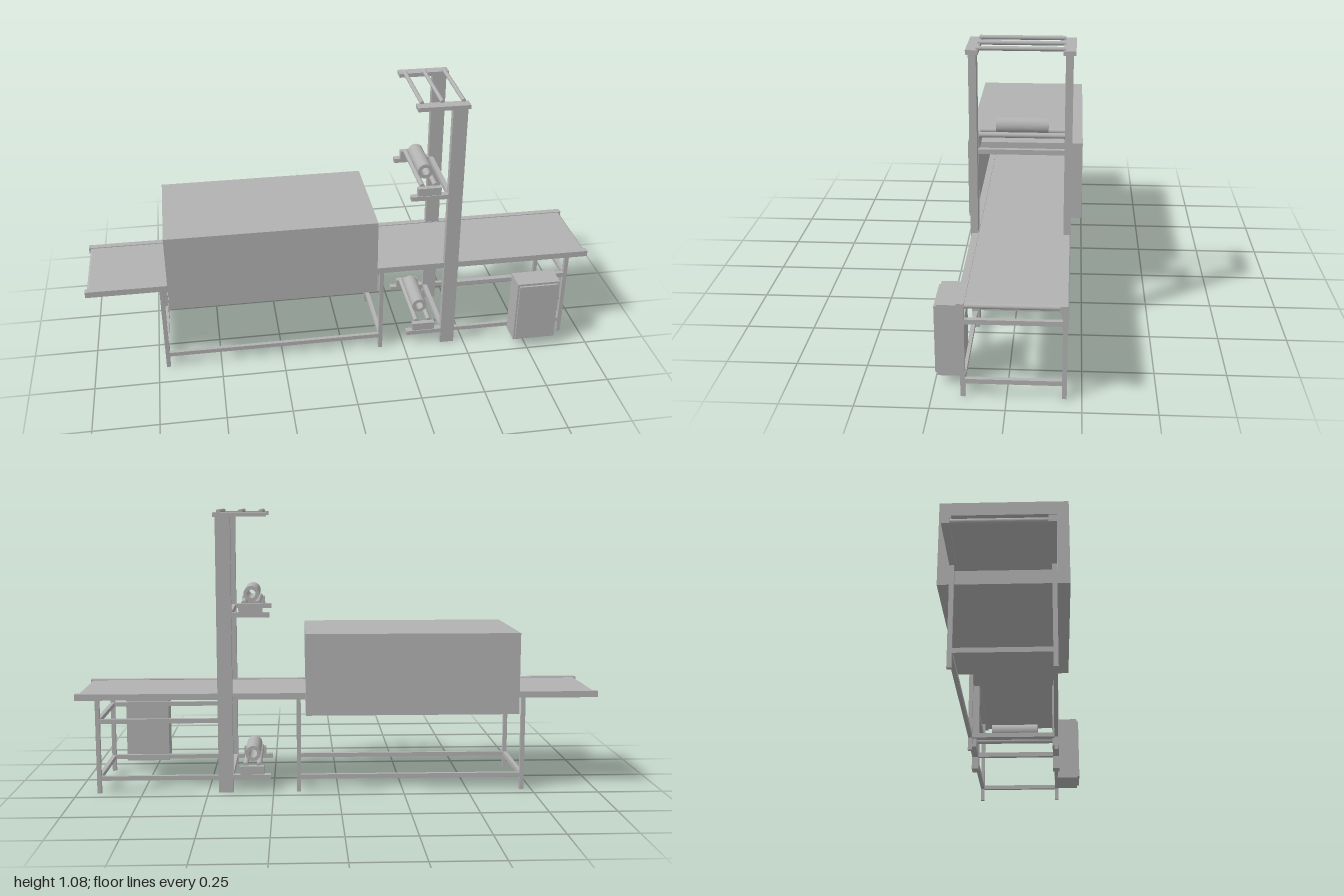
import * as THREE from 'three';

const ZC = -0.023; // centre line of the conveyor
const grey = new THREE.MeshStandardMaterial({ color: 0xb2b2b2 });
grey.name = 'machine grey';

export function createModel() {
  const model = new THREE.Group();
  model.name = 'conveyorLine';

  const add = (name, geometry) => {
    const mesh = new THREE.Mesh(geometry, grey);
    mesh.name = name;
    model.add(mesh);
    return mesh;
  };
  // box given by its limits on each axis
  const box = (name, x0, x1, y0, y1, z0, z1) => {
    add(name, new THREE.BoxGeometry(x1 - x0, y1 - y0, z1 - z0))
      .position.set((x0 + x1) / 2, (y0 + y1) / 2, (z0 + z1) / 2);
  };
  // pair of boxes mirrored about the centre line, a and b are distances from it
  const pair = (name, x0, x1, y0, y1, a, b) => {
    box(name + 'Front', x0, x1, y0, y1, ZC + a, ZC + b);
    box(name + 'Back', x0, x1, y0, y1, ZC - b, ZC - a);
  };
  // round bar across the line
  const rod = (name, x, y, r, length) => {
    const mesh = add(name, new THREE.CylinderGeometry(r, r, length, 20));
    mesh.rotation.x = Math.PI / 2;
    mesh.position.set(x, y, ZC);
  };

  // conveyor bed: side rails and a belt wrapped round its end rollers
  pair('bedRail', -1, 1, 0.362, 0.386, 0.152, 0.177);
  const belt = new THREE.Shape();
  belt.absarc(0.985, 0.374, 0.009, -Math.PI / 2, Math.PI / 2, false);
  belt.absarc(-0.985, 0.374, 0.009, Math.PI / 2, Math.PI * 1.5, false);
  add('belt', new THREE.ExtrudeGeometry(belt, { depth: 0.306, bevelEnabled: false, curveSegments: 10 }))
    .position.z = ZC - 0.153;

  // tunnel housing, open at both ends
  const rect = (S, w, y0, y1) => {
    const s = new S();
    s.moveTo(-w, y0);
    s.lineTo(w, y0);
    s.lineTo(w, y1);
    s.lineTo(-w, y1);
    s.closePath();
    return s;
  };
  const housing = rect(THREE.Shape, 0.221, 0.307, 0.618);
  housing.holes.push(rect(THREE.Path, 0.18, 0.357, 0.569));
  const tunnel = add('tunnelHousing', new THREE.ExtrudeGeometry(housing, { depth: 0.812, bevelEnabled: false }));
  tunnel.rotation.y = Math.PI / 2;
  tunnel.position.set(-0.687, 0, ZC);

  // stand legs and their cross bars
  for (const x of [-0.712, 0.152, 0.916]) {
    pair('leg', x - 0.008, x + 0.008, 0, 0.364, 0.161, 0.177);
    box('standCrossBar', x - 0.008, x + 0.008, 0.05, 0.067, ZC - 0.162, ZC + 0.162);
  }
  box('upperCrossBar', 0.908, 0.924, 0.272, 0.289, ZC - 0.162, ZC + 0.162);

  // long stand rails
  pair('longRail', -0.712, 0.152, 0.05, 0.067, 0.161, 0.176);
  pair('shortRail', 0.432, 0.916, 0.05, 0.067, 0.161, 0.176);
  pair('upperRail', 0.432, 0.916, 0.272, 0.289, 0.161, 0.176);

  // tower columns and top rack
  pair('column', 0.404, 0.46, 0, 1.054, 0.154, 0.181);
  pair('topArm', 0.27, 0.468, 1.053, 1.069, 0.146, 0.19);
  for (const x of [0.291, 0.368, 0.449]) rod('topRod', x, 1.072, 0.008, 0.308);

  // two roll holders, one low and one high
  const ring = new THREE.Shape();
  ring.absarc(0, 0, 0.03, 0, Math.PI * 2, false);
  const bore = new THREE.Path();
  bore.absarc(0, 0, 0.016, 0, Math.PI * 2, true);
  ring.holes.push(bore);
  const rollGeometry = new THREE.ExtrudeGeometry(ring, { depth: 0.187, bevelEnabled: false, curveSegments: 24 });
  for (const y of [0.05, 0.677]) {
    pair('holderArm', 0.26, 0.406, y, y + 0.018, 0.154, 0.179);
    box('holderCrossBar', 0.404, 0.422, y, y + 0.018, ZC - 0.156, ZC + 0.156);
    pair('rodBlock', 0.286, 0.377, y + 0.018, y + 0.05, 0.154, 0.176);
    for (const x of [0.305, 0.357]) rod('supportRod', x, y + 0.051, 0.01, 0.312);
    add('materialRoll', rollGeometry).position.set(0.331, y + 0.081, ZC - 0.0935);
  }

  // control cabinet with a thin door
  box('cabinet', 0.69, 0.863, 0.04, 0.307, 0.15, 0.238);
  box('cabinetDoor', 0.697, 0.856, 0.048, 0.298, 0.238, 0.246);

  return model;
}
